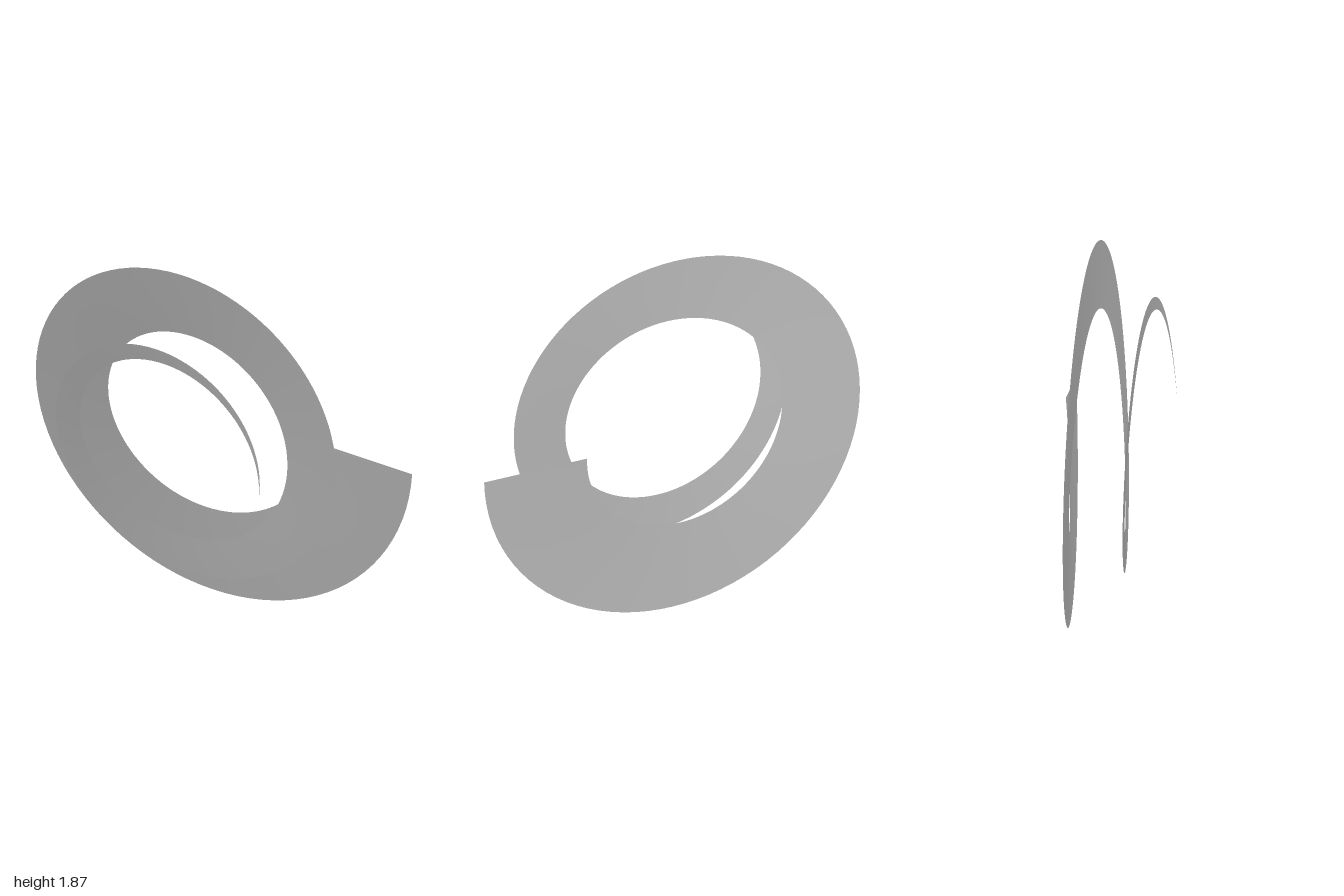
import * as THREE from 'three';

const TURNS = 2;
const STEPS = 192;
const INNER = 0.5333;   // constant inner radius
const OUTER = 1.0667;   // outer radius at the wide end
const DEPTH = 0.5333;   // total advance along z
const CENTRE = new THREE.Vector2(-0.0667, 1);

// Helical ribbon: starts as a point at the front and widens towards the back
function ribbonGeometry() {
  const positions = [];
  const index = [];
  for (let i = 0; i <= STEPS; i++) {
    const t = i / STEPS;
    const angle = t * TURNS * Math.PI * 2;
    const z = DEPTH * (0.5 - t);
    for (const r of [INNER, INNER + (OUTER - INNER) * t]) {
      positions.push(CENTRE.x + r * Math.cos(angle), CENTRE.y + r * Math.sin(angle), z);
    }
    if (i < STEPS) {
      const a = i * 2;
      if (i > 0) index.push(a, a + 1, a + 3); // the tip has no width
      index.push(a, a + 3, a + 2);
    }
  }
  const geometry = new THREE.BufferGeometry();
  geometry.setAttribute('position', new THREE.Float32BufferAttribute(positions, 3));
  geometry.setIndex(index);
  geometry.computeVertexNormals();
  return geometry;
}

export function createModel() {
  const grey = new THREE.MeshStandardMaterial({ color: 0xb8b8b8, side: THREE.DoubleSide });
  grey.name = 'grey';

  const group = new THREE.Group();
  group.name = 'wideningSpiral';
  const ribbon = new THREE.Mesh(ribbonGeometry(), grey);
  ribbon.name = 'spiralRibbon';
  group.add(ribbon);
  return group;
}
